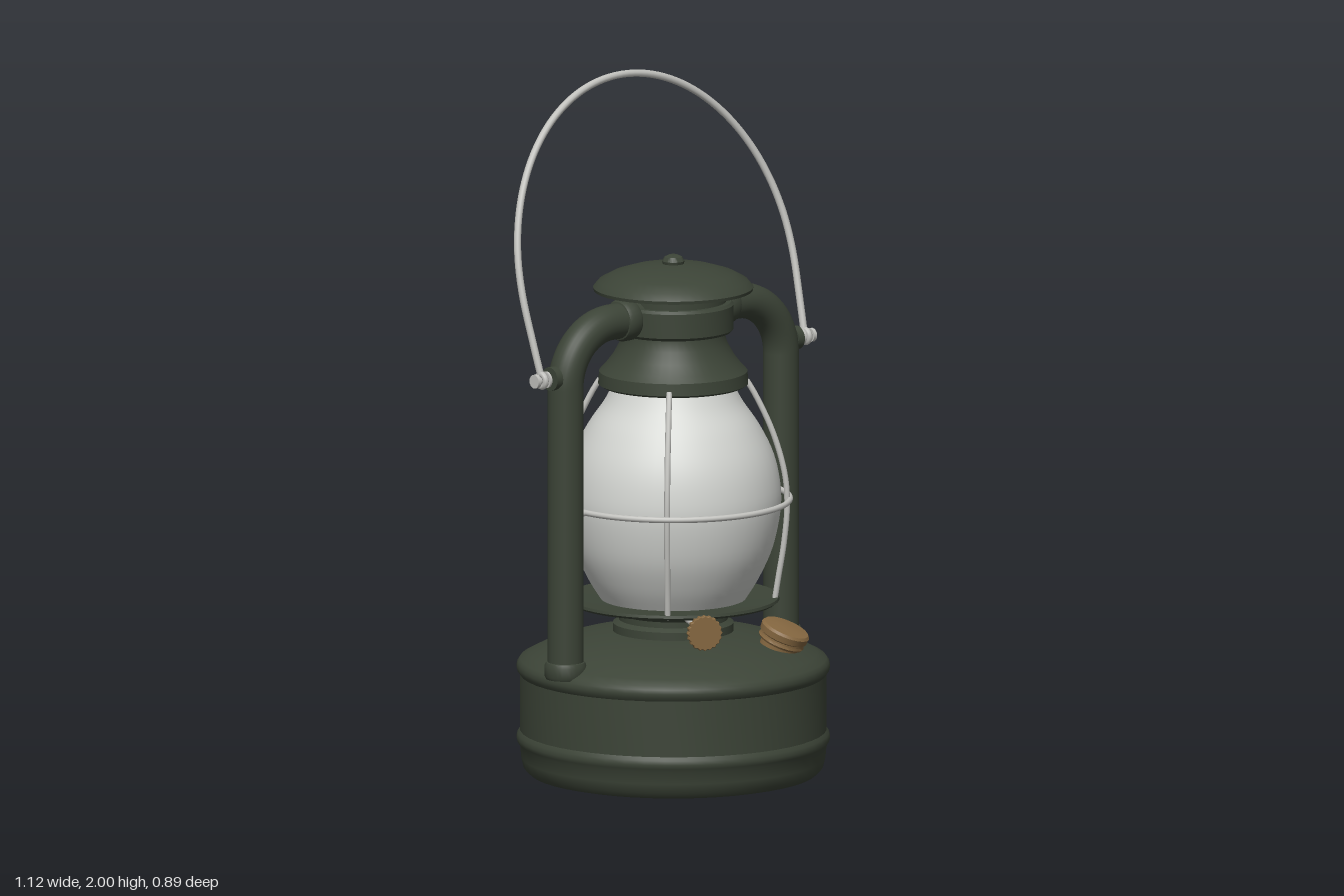
import * as THREE from 'three';
import { toCreasedNormals } from 'three/addons/utils/BufferGeometryUtils.js';

const mat = (name, color) => {
  const m = new THREE.MeshStandardMaterial({ color });
  m.name = name;
  return m;
};

export function createModel() {
  const green = mat('olive enamel', 0x3c4437);
  const steel = mat('steel wire', 0xc2c2be);
  const brass = mat('aged brass', 0x866841);
  const glass = mat('frosted glass', 0xd2d4d0);

  const model = new THREE.Group();
  model.name = 'lantern';
  const body = new THREE.Group();
  body.name = 'lanternBody';
  body.position.x = -0.028;
  model.add(body);

  const V = (x, y, z) => new THREE.Vector3(x, y, z);
  const add = (name, geo, material, parent = body) => {
    const m = new THREE.Mesh(geo, material);
    m.name = name;
    parent.add(m);
    return m;
  };
  // Revolved part from [radius, height] pairs, listed bottom to top on the outside
  const lathe = (name, pts, material, parent = body, seg = 48) => add(name,
    toCreasedNormals(new THREE.LatheGeometry(pts.map(p => new THREE.Vector2(...p)), seg), 0.6),
    material, parent);
  // Round wire through points, with capped ends
  const wire = (name, pts, r, material, parent = body, seg = 32) => {
    const curve = pts.isCurve || pts.isCurvePath ? pts : new THREE.CatmullRomCurve3(pts);
    return add(name, new THREE.TubeGeometry(curve, seg, r, 10), material, parent);
  };
  // Solid rod between two points
  const rod = (name, a, b, r, material, parent = body, seg = 16) => {
    const d = b.clone().sub(a);
    const m = add(name, new THREE.CylinderGeometry(r, r, d.length(), seg), material, parent);
    m.position.copy(a).add(b).multiplyScalar(0.5);
    m.quaternion.setFromUnitVectors(V(0, 1, 0), d.normalize());
    return m;
  };

  // Fuel tank with recessed base, two pressed beads and a domed shoulder
  const bead = y => [[0.436, y - 0.022], [0.443, y - 0.012], [0.446, y], [0.443, y + 0.012], [0.436, y + 0.022]];
  lathe('fuelTank', [[0, 0.025], [0.35, 0.025], [0.365, 0.003], [0.385, 0], [0.41, 0.006], [0.426, 0.022], [0.433, 0.05],
    ...bead(0.107), ...bead(0.312), [0.41, 0.348], [0.36, 0.373], [0.29, 0.394], [0.22, 0.408], [0.172, 0.415], [0, 0.417]], green);

  // Burner collar and the plate that carries the globe
  lathe('burnerCollar', [[0.172, 0.41], [0.172, 0.438], [0.155, 0.448], [0.155, 0.465], [0.165, 0.475], [0.165, 0.492]], green);
  lathe('globePlate', [[0, 0.49], [0.24, 0.49], [0.293, 0.497], [0.302, 0.504], [0.3, 0.512], [0.24, 0.508], [0, 0.508]], green);

  // Glass globe
  const globe = new THREE.SplineCurve([[0.205, 0.505], [0.245, 0.57], [0.284, 0.66], [0.306, 0.77], [0.303, 0.85],
    [0.283, 0.93], [0.243, 1.01], [0.195, 1.08], [0.16, 1.15]].map(p => new THREE.Vector2(...p)));
  const globeMesh = add('glassGlobe', new THREE.LatheGeometry(globe.getPoints(36), 48), glass);
  globeMesh.material.side = THREE.DoubleSide;

  // Hood, chimney, and domed lid with a button
  lathe('hood', [[0, 1.135], [0.19, 1.135], [0.205, 1.124], [0.214, 1.13], [0.211, 1.165], [0.195, 1.182], [0.172, 1.212],
    [0.154, 1.245], [0.145, 1.275], [0.145, 1.29]], green);
  lathe('chimneyBand', [[0.14, 1.28], [0.165, 1.28], [0.172, 1.288], [0.172, 1.358], [0.165, 1.366], [0.14, 1.366]], green);
  lathe('chimneyNeck', [[0.15, 1.36], [0.15, 1.43]], green);
  lathe('lid', [[0, 1.425], [0.14, 1.42], [0.215, 1.397], [0.226, 1.398], [0.228, 1.407], [0.212, 1.426], [0.175, 1.446],
    [0.12, 1.463], [0.06, 1.472], [0.03, 1.474], [0.032, 1.482], [0.025, 1.494], [0.012, 1.5], [0, 1.501]], green);

  // Wire guard: belt ring and four uprights
  const belt = add('guardRing', new THREE.TorusGeometry(0.332, 0.0085, 10, 64), steel);
  belt.rotation.x = Math.PI / 2;
  belt.position.y = 0.795;
  for (let i = 0; i < 4; i++) {
    const a = Math.PI / 4 + i * Math.PI / 2;
    const at = (r, y) => V(r * Math.cos(a), y, r * Math.sin(a));
    wire('guardUpright', [at(0.208, 1.14), at(0.232, 1.1), at(0.283, 0.99), at(0.317, 0.87), at(0.324, 0.78),
      at(0.315, 0.67), at(0.299, 0.57), at(0.288, 0.5)], 0.0085, steel);
  }

  for (const s of [-1, 1]) {
    // Side tube: upright, elbow and short run into the chimney
    const R = 0.17, X = 0.411, Y = 1.335;
    const path = new THREE.CurvePath();
    const k = R * 0.552;
    path.add(new THREE.LineCurve3(V(s * X, 0.335, 0), V(s * X, Y - R, 0)));
    path.add(new THREE.CubicBezierCurve3(V(s * X, Y - R, 0), V(s * X, Y - R + k, 0), V(s * (X - R + k), Y, 0), V(s * (X - R), Y, 0)));
    path.add(new THREE.LineCurve3(V(s * (X - R), Y, 0), V(s * 0.13, Y, 0)));
    add('sideTube', new THREE.TubeGeometry(path, 96, 0.051, 24), green);

    // Fittings at both tube ends
    const sleeve = [[0.045, -0.025], [0.056, -0.025], [0.06, -0.017], [0.06, 0.012], [0.055, 0.022], [0.045, 0.025]];
    lathe('tubeFoot', sleeve, green, body, 28).position.set(s * X, 0.352, 0);
    const collar = lathe('tubeCollar', sleeve, green, body, 28);
    collar.position.set(s * 0.19, Y, 0);
    collar.rotation.z = -s * Math.PI / 2;

    rod('guardStay', V(s * 0.33, 0.795, 0), V(s * 0.38, 0.795, 0), 0.0085, steel);

    // Bail pivot: boss, pin, washer and end button
    rod('pivotBoss', V(s * 0.45, 1.2, 0), V(s * 0.472, 1.2, 0), 0.034, green, body, 24);
    rod('pivotPin', V(s * 0.46, 1.2, 0), V(s * 0.525, 1.2, 0), 0.01, steel);
    rod('pivotWasher', V(s * 0.482, 1.2, 0), V(s * 0.489, 1.2, 0), 0.024, steel);
    rod('pivotButton', V(s * 0.52, 1.2, 0), V(s * 0.531, 1.2, 0), 0.02, steel);
    const eye = add('bailEye', new THREE.TorusGeometry(0.018, 0.009, 8, 20), steel);
    eye.position.set(s * 0.503, 1.2, 0);
    eye.rotation.y = Math.PI / 2;
  }

  // Carrying bail, leaning back
  const bail = [V(-0.502, 0.015, 0), V(-0.508, 0.1, 0)];
  for (let i = 0; i <= 16; i++) {
    const a = Math.PI * (1 - i / 16);
    bail.push(V(0.515 * Math.cos(a), 0.25 + 0.57 * Math.sin(a), 0));
  }
  bail.push(V(0.508, 0.1, 0), V(0.502, 0.015, 0));
  const bailMesh = wire('bail', bail, 0.0105, steel, body, 96);
  bailMesh.position.y = 1.2;
  bailMesh.rotation.x = -0.275;

  // Wick knob with a fluted rim, on a radial shaft
  const wick = new THREE.Group();
  wick.name = 'wickKnob';
  wick.position.set(-0.177, 0.475, 0.33);
  wick.rotation.y = Math.atan2(-0.177, 0.33);
  body.add(wick);
  const rim = new THREE.Shape();
  for (let i = 0; i < 80; i++) {
    const a = i / 80 * Math.PI * 2, r = 0.047 + 0.002 * Math.cos(a * 20);
    rim[i ? 'lineTo' : 'moveTo'](r * Math.cos(a), r * Math.sin(a));
  }
  const disc = add('wickKnobDisc', new THREE.ExtrudeGeometry(rim, { depth: 0.014, bevelEnabled: true,
    bevelThickness: 0.003, bevelSize: 0.002, bevelSegments: 1 }), brass, wick);
  disc.position.z = -0.007;
  rod('wickKnobHub', V(0, 0, -0.03), V(0, 0, 0), 0.016, steel, wick);
  rod('wickShaft', V(0, 0, -0.24), V(0, 0, 0), 0.008, steel, wick);

  // Filler cap, square to the sloping shoulder
  const filler = lathe('fillerCap', [[0.055, -0.045], [0.055, -0.012], [0.064, -0.01], [0.068, -0.004], [0.064, 0.003],
    [0.064, 0.008], [0.07, 0.012], [0.072, 0.03], [0.066, 0.037], [0.03, 0.041], [0, 0.042]], brass, body, 32);
  filler.position.set(0.163, 0.407, 0.28);
  filler.quaternion.setFromUnitVectors(V(0, 1, 0), V(0.18, 0.9, 0.34).normalize());

  // Globe lifting lever with a thumb disc
  wire('liftLever', [V(0.25, 0.503, -0.1), V(0.31, 0.504, -0.125), V(0.37, 0.494, -0.155), V(0.44, 0.463, -0.175),
    V(0.495, 0.425, -0.183), V(0.55, 0.39, -0.183)], 0.009, steel);
  const c = V(0.555, 0.387, -0.183), n = V(0.64, 0.77, 0).normalize().multiplyScalar(0.005);
  rod('liftThumbDisc', c.clone().sub(n), c.clone().add(n), 0.038, green, body, 24);

  return model;
}
